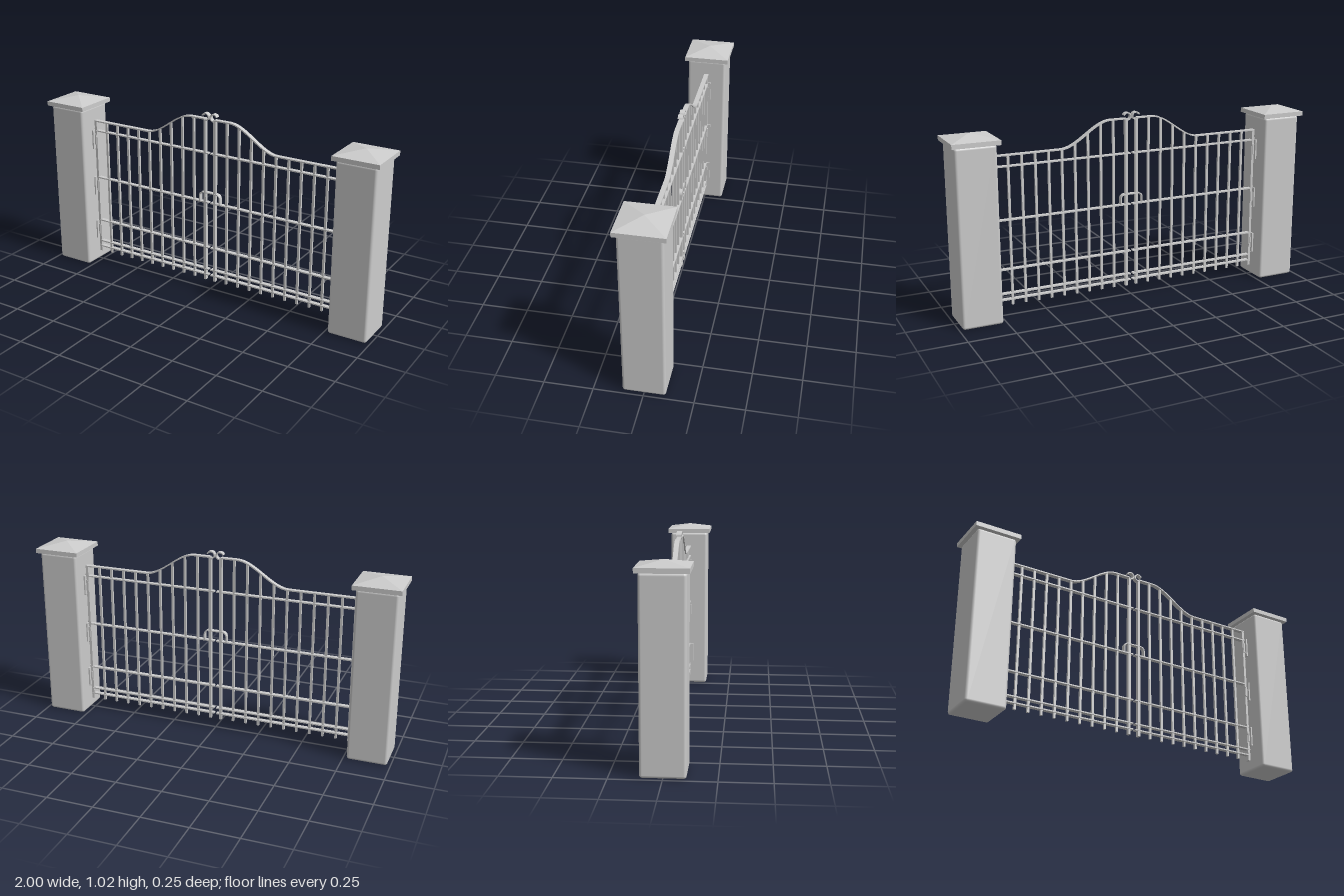
import * as THREE from 'three';
import { RoundedBoxGeometry } from 'three/addons/geometries/RoundedBoxGeometry.js';

const material = new THREE.MeshStandardMaterial({ color: 0xcccccc });

function add(parent, geometry, name, x = 0, y = 0, z = 0) {
  const mesh = new THREE.Mesh(geometry, material);
  mesh.name = name;
  mesh.position.set(x, y, z);
  parent.add(mesh);
  return mesh;
}

// Flat iron strip: a line of points in the xy plane, thickened and given depth in z
function strip(points, thickness, depth) {
  const outer = [], inner = [];
  points.forEach((p, i) => {
    const a = points[Math.max(i - 1, 0)], b = points[Math.min(i + 1, points.length - 1)];
    const n = new THREE.Vector2(a.y - b.y, b.x - a.x).normalize().multiplyScalar(thickness / 2);
    outer.push(p.clone().add(n));
    inner.push(p.clone().sub(n));
  });
  const shape = new THREE.Shape([...outer, ...inner.reverse()]);
  return new THREE.ExtrudeGeometry(shape, { depth, bevelEnabled: false }).translate(0, 0, -depth / 2);
}

// Height of the gate's top rail at distance x from the middle
function topHeight(x) {
  const t = THREE.MathUtils.smoothstep(x, 0.12, 0.4);
  return 0.984 - 0.13 * t;
}

function makePillar() {
  const pillar = new THREE.Group();
  pillar.name = 'pillar';
  add(pillar, new RoundedBoxGeometry(0.214, 0.935, 0.216, 3, 0.014), 'pillarShaft', 0, 0.4675, 0);
  add(pillar, new THREE.BoxGeometry(0.248, 0.024, 0.248), 'capSlab', 0, 0.947, 0);
  // Shallow pyramid on the slab
  const roof = new THREE.ConeGeometry(0.248 / Math.SQRT2, 0.025, 4, 1).toNonIndexed();
  roof.rotateY(Math.PI / 4);
  roof.computeVertexNormals();
  add(pillar, roof, 'capRoof', 0, 0.9715, 0);
  return pillar;
}

function makeGateLeaf(side) {
  const leaf = new THREE.Group();
  leaf.name = side > 0 ? 'leftGate' : 'rightGate';

  // Upright bars, with a stile at each end
  for (let i = 0; i <= 10; i++) {
    const x = 0.03 + 0.0725 * i;
    const bottom = 0.055, top = topHeight(x);
    const isStile = i === 0 || i === 10;
    const w = isStile ? 0.014 : 0.012;
    add(leaf, new THREE.BoxGeometry(w, top - bottom, isStile ? 0.02 : w),
      isStile ? 'stile' : 'bar', side * x, (top + bottom) / 2, 0);
  }

  // Level flat rails
  for (const y of [0.797, 0.517, 0.252, 0.12, 0.087]) {
    add(leaf, new THREE.BoxGeometry(0.756, 0.007, 0.024), 'rail', side * 0.384, y, 0);
  }

  // Sweeping top rail
  const sweep = [];
  for (let i = 0; i <= 48; i++) {
    const x = 0.03 + (0.732 * i) / 48;
    sweep.push(new THREE.Vector2(side * x, topHeight(x)));
  }
  add(leaf, strip(sweep, 0.007, 0.025), 'topRail');

  // Scroll curling outwards over the meeting edge
  const scroll = [];
  for (let i = 0; i <= 24; i++) {
    const a = -Math.PI * 0.55 + (Math.PI * 1.45 * i) / 24;
    scroll.push(new THREE.Vector2(side * (0.025 - 0.02 * Math.cos(a)), 0.996 + 0.019 * Math.sin(a)));
  }
  add(leaf, strip(scroll, 0.006, 0.026), 'scroll');

  // Hinges between the outer stile and the pillar
  for (const y of [0.745, 0.467, 0.195]) {
    const hinge = new THREE.Group();
    hinge.name = 'hinge';
    hinge.position.set(side * 0.764, y, 0);
    add(hinge, new THREE.BoxGeometry(0.012, 0.11, 0.055), 'hingePlate', side * 0.003, 0, 0);
    add(hinge, new THREE.BoxGeometry(0.02, 0.06, 0.03), 'hingeBlock', -side * 0.003, 0, 0);
    add(hinge, new THREE.CylinderGeometry(0.008, 0.008, 0.13, 12), 'hingePin', -side * 0.003, 0, 0);
    leaf.add(hinge);
  }
  return leaf;
}

function makeLatch() {
  // Arched strap that drops over both meeting stiles
  const path = [new THREE.Vector2(-0.062, 0.517)];
  const r = 0.022;
  for (const [cx, start] of [[-0.062 + r, Math.PI], [0.062 - r, Math.PI / 2]]) {
    for (let i = 0; i <= 8; i++) {
      const a = start - (Math.PI / 2) * (i / 8);
      path.push(new THREE.Vector2(cx + r * Math.cos(a), 0.573 - r + r * Math.sin(a)));
    }
  }
  path.push(new THREE.Vector2(0.062, 0.517));
  return strip(path, 0.006, 0.024);
}

export function createModel() {
  const model = new THREE.Group();
  model.name = 'gateway';
  for (const side of [1, -1]) {
    const pillar = makePillar();
    pillar.position.x = side * 0.876;
    model.add(pillar, makeGateLeaf(side));
  }
  add(model, makeLatch(), 'latch');
  return model;
}
